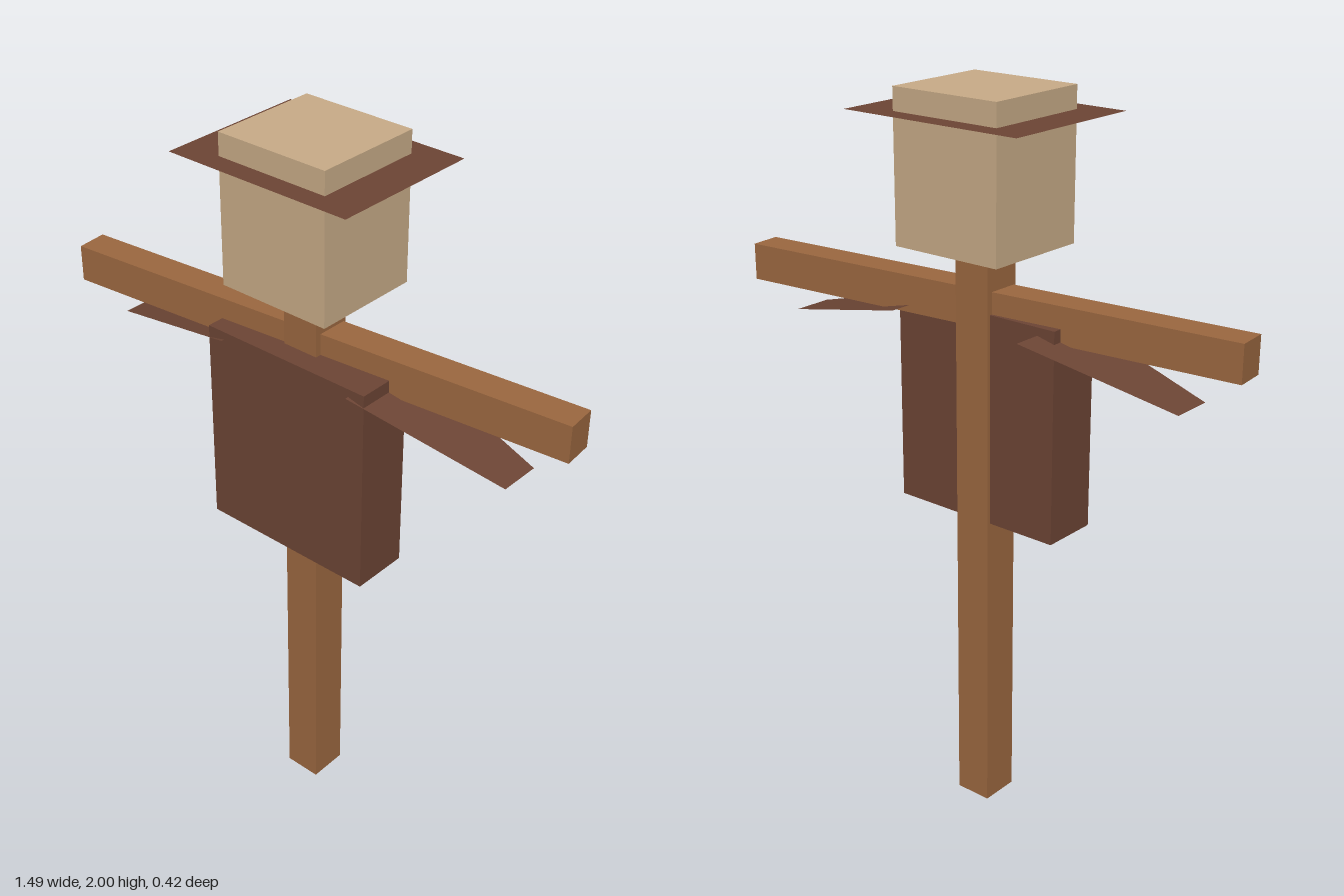
import * as THREE from 'three';

const wood = new THREE.MeshStandardMaterial({ name: 'wood', color: 0x9c6840 });
const sack = new THREE.MeshStandardMaterial({ name: 'sackcloth', color: 0xc9ac88 });
const cloth = new THREE.MeshStandardMaterial({ name: 'brown cloth', color: 0x6d4535, side: THREE.DoubleSide });

export function createModel() {
  const model = new THREE.Group();
  model.name = 'scarecrow';

  const add = (name, geometry, material, x, y, z) => {
    const mesh = new THREE.Mesh(geometry, material);
    mesh.name = name;
    mesh.position.set(x, y, z);
    model.add(mesh);
    return mesh;
  };

  // Wooden cross: upright post and a slightly turned crossbar
  add('post', new THREE.BoxGeometry(0.105, 1.62, 0.11), wood, -0.002, 0.81, 0);
  add('crossbar', new THREE.BoxGeometry(1.49, 0.1, 0.086), wood, -0.002, 1.45, 0).rotation.y = 0.09;

  // Shirt body, hung on the front of the post
  add('shirt', new THREE.BoxGeometry(0.512, 0.577, 0.16), cloth, -0.002, 1.153, 0.035);

  // Head, poking through a flat hat brim
  add('head', new THREE.BoxGeometry(0.325, 0.395, 0.306), sack, -0.002, 1.8025, -0.002);
  add('hatBrim', new THREE.PlaneGeometry(0.54, 0.422), cloth, 0, 1.94, -0.002).rotation.x = -Math.PI / 2;

  // Sleeves: flat tapered sheets sloping down from the shoulders
  for (const [name, side] of [['leftSleeve', 1], ['rightSleeve', -1]]) {
    const sleeve = new THREE.PlaneGeometry(1, 1);
    const p = sleeve.attributes.position;
    for (let i = 0; i < p.count; i++) {
      const outer = p.getX(i) > 0 === side > 0;
      const front = p.getY(i) < 0 ? 1 : -1;
      p.setXYZ(i, side * (outer ? 0.633 : 0.205), outer ? 1.32 : 1.42, front * (outer ? 0.057 : 0.125));
    }
    sleeve.computeVertexNormals();
    add(name, sleeve, cloth, 0, 0, 0);
  }

  return model;
}
